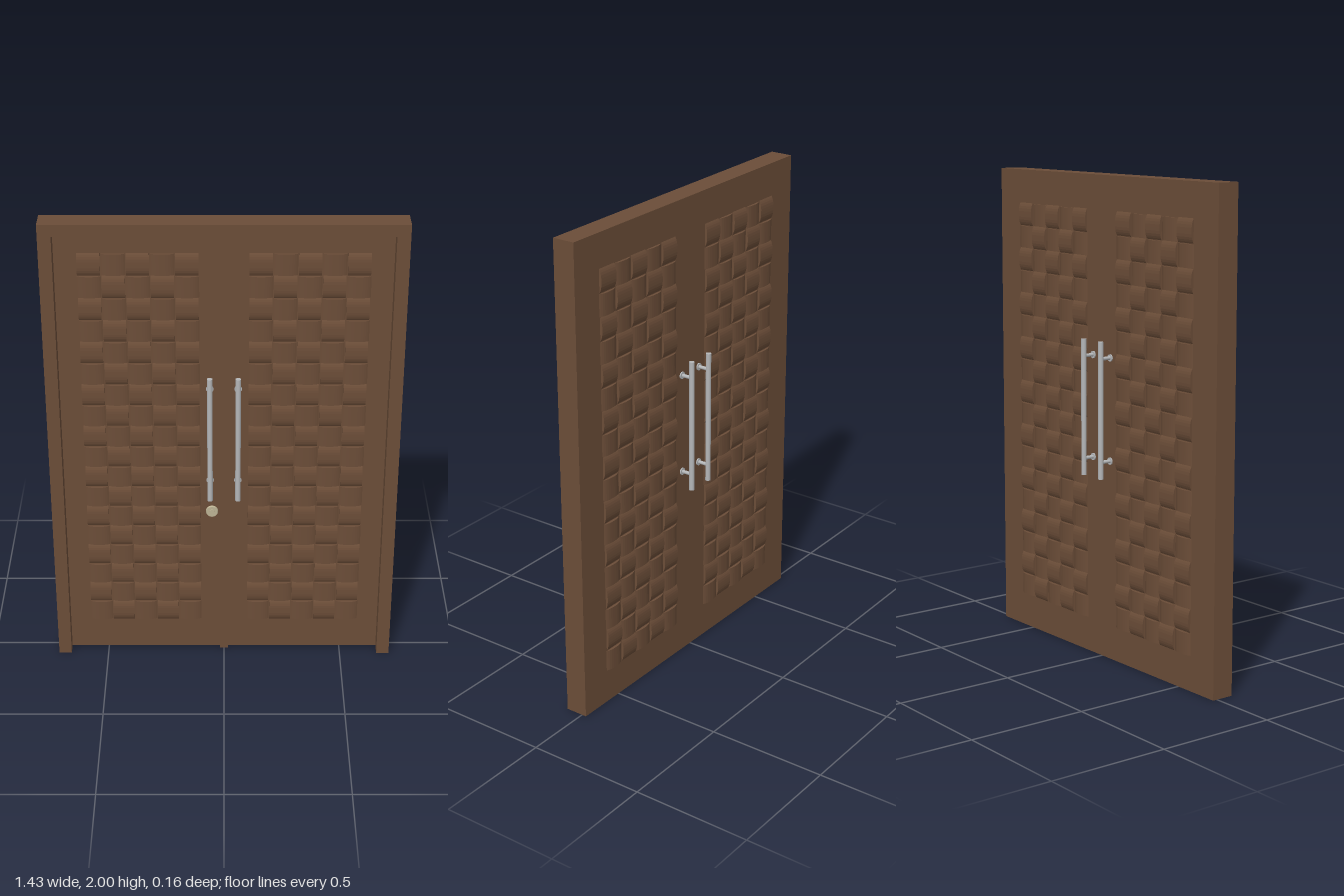
import * as THREE from 'three';

const wood = new THREE.MeshStandardMaterial({ color: 0x6b4d38 });
const steel = new THREE.MeshStandardMaterial({ color: 0xb4b6b8 });
const brass = new THREE.MeshStandardMaterial({ color: 0xbdb394 });

const FACE = 0.02;     // half thickness of the door leaves
const PITCH = 0.0954;  // weave cell size
const COLS = 5, ROWS = 18;

function add(parent, name, geo, mat, x = 0, y = 0, z = 0) {
  const m = new THREE.Mesh(geo, mat);
  m.name = name;
  m.position.set(x, y, z);
  parent.add(m);
  return m;
}

// One visible over-pass of a woven strip: an arch along x, extruded across its width
function archGeometry() {
  const half = PITCH / 2, width = 0.09, n = 12;
  const shape = new THREE.Shape();
  shape.moveTo(-half, -0.002);
  for (let i = 0; i <= n; i++) {
    const t = -Math.cos(Math.PI * i / n);
    shape.lineTo(t * half, 0.0105 * (1 - Math.abs(t) ** 3));
  }
  shape.lineTo(half, -0.002);
  const g = new THREE.ExtrudeGeometry(shape, { depth: width, bevelEnabled: false });
  g.translate(0, 0, -width / 2);
  g.rotateX(Math.PI / 2); // arch height now points along +z
  return g;
}

// Checkerboard of horizontal and vertical over-passes
function weavePanel(arch) {
  const panel = new THREE.Group();
  panel.name = 'wovenPanel';
  for (let r = 0; r < ROWS; r++) {
    for (let c = 0; c < COLS; c++) {
      const horizontal = (r + c) % 2 === 0;
      const strip = add(panel, horizontal ? 'horizontalStrip' : 'verticalStrip', arch, wood,
        (c - (COLS - 1) / 2) * PITCH, (r - (ROWS - 1) / 2) * PITCH, 0);
      if (!horizontal) strip.rotation.z = Math.PI / 2;
    }
  }
  return panel;
}

// Long bar pull on two standoffs, standing out along +z from z = 0
function pullHandle() {
  const g = new THREE.Group();
  g.name = 'pullHandle';
  add(g, 'bar', new THREE.CylinderGeometry(0.011, 0.011, 0.565, 20), steel, 0, 0, 0.05);
  for (const y of [-0.213, 0.213]) {
    add(g, 'standoff', new THREE.CylinderGeometry(0.0075, 0.0075, 0.05, 16), steel, 0, y, 0.025).rotation.x = Math.PI / 2;
    add(g, 'rosette', new THREE.CylinderGeometry(0.015, 0.015, 0.005, 20), steel, 0, y, 0.0025).rotation.x = Math.PI / 2;
  }
  return g;
}

export function createModel() {
  const model = new THREE.Group();
  model.name = 'doubleDoor';

  // Surrounding frame: two jambs and a head, flush with the leaves at the back
  const w = 0.713, inner = 0.66, top = 1.95;
  const frame = new THREE.Shape([
    [-w, 0], [-inner, 0], [-inner, top], [inner, top], [inner, 0], [w, 0], [w, 2], [-w, 2],
  ].map(([x, y]) => new THREE.Vector2(x, y)));
  add(model, 'frame', new THREE.ExtrudeGeometry(frame, { depth: 0.095, bevelEnabled: false }), wood, 0, 0, -FACE);

  const arch = archGeometry();
  for (const side of [-1, 1]) {
    add(model, side > 0 ? 'leftLeaf' : 'rightLeaf', new THREE.BoxGeometry(inner, top, FACE * 2), wood, side * inner / 2, top / 2, 0);
    // Weave and handle on both faces of each leaf
    for (const face of [1, -1]) {
      for (const [part, x, y] of [[weavePanel(arch), 0.335, 1.002], [pullHandle(), 0.057, 1.055]]) {
        part.position.set(side * x, y, face * FACE);
        if (face < 0) part.rotation.y = Math.PI;
        model.add(part);
      }
    }
  }

  // Cover strip over the meeting edges
  add(model, 'meetingStrip', new THREE.BoxGeometry(0.036, top, 0.016), wood, 0, top / 2, FACE + 0.008);

  // Lock on the front of the right leaf
  add(model, 'lockPlate', new THREE.CylinderGeometry(0.024, 0.026, 0.008, 28), brass, -0.05, 0.69, FACE + 0.004).rotation.x = Math.PI / 2;
  add(model, 'lockCylinder', new THREE.CylinderGeometry(0.012, 0.012, 0.004, 20), brass, -0.05, 0.69, FACE + 0.01).rotation.x = Math.PI / 2;

  return model;
}
